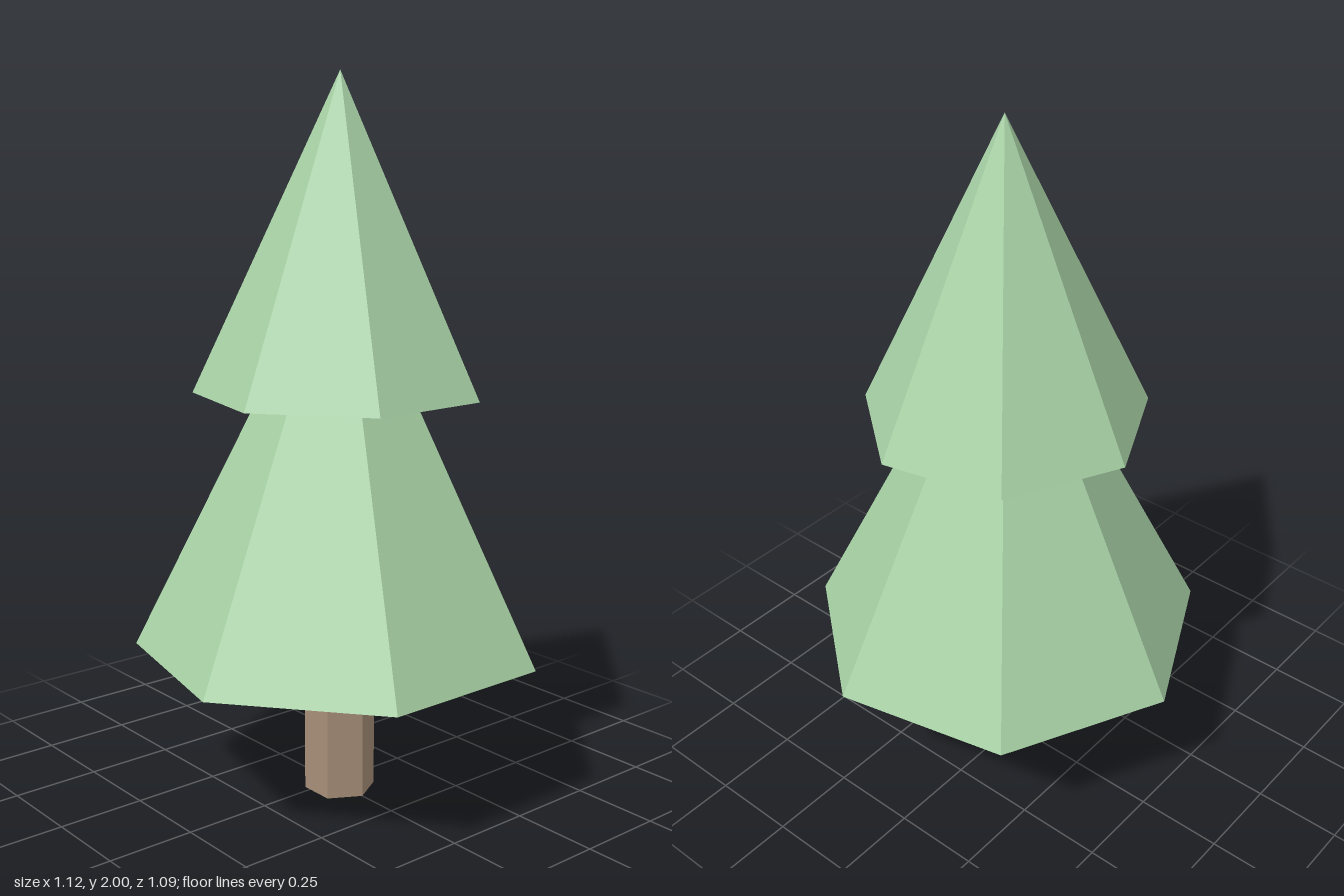
import * as THREE from 'three';

export function createModel() {
  const tree = new THREE.Group();
  tree.name = 'pineTree';

  const leaf = new THREE.MeshStandardMaterial({ color: 0xa8d2a6, flatShading: true });
  const bark = new THREE.MeshStandardMaterial({ color: 0xa68e78, flatShading: true });
  const axisZ = 0.028; // the heptagon's centre, so its bounds are centred on z = 0

  const add = (name, geometry, material, bottom, height) => {
    const mesh = new THREE.Mesh(geometry, material);
    mesh.name = name;
    mesh.position.set(0, bottom + height / 2, axisZ);
    tree.add(mesh);
  };

  // Seven-sided foliage tier with a corner at the back and a flat face in front
  const addTier = (name, radius, bottom, top) => {
    const height = top - bottom;
    add(name, new THREE.ConeGeometry(radius, height, 7, 1, false, Math.PI), leaf, bottom, height);
  };

  // Hexagonal trunk
  add('trunk', new THREE.CylinderGeometry(0.1, 0.1, 0.45, 6), bark, 0, 0.45);

  // Foliage
  addTier('lowerFoliage', 0.573, 0.433, 1.58);
  addTier('upperFoliage', 0.401, 1.148, 2);

  return tree;
}
